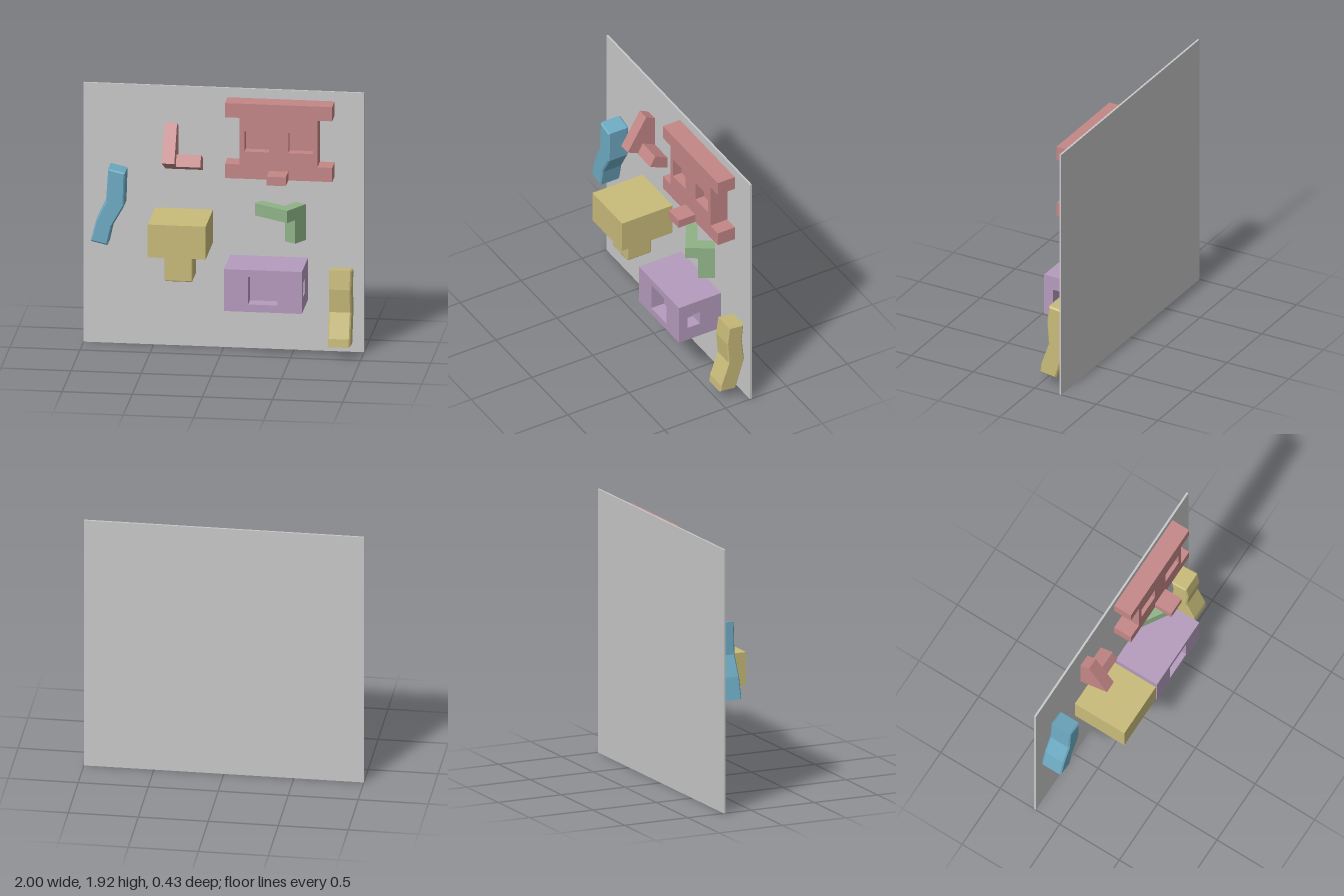
import * as THREE from 'three';
import { RoundedBoxGeometry } from 'three/addons/geometries/RoundedBoxGeometry.js';

const BACK = -0.2; // front face of the board

const mat = (name, color) => {
  const m = new THREE.MeshStandardMaterial({ color });
  m.name = name;
  return m;
};

const path = (pts, Type = THREE.Shape) => new Type(pts.map(p => new THREE.Vector2(...p)));
const rect = (x0, x1, y0, y1) => [[x0, y0], [x1, y0], [x1, y1], [x0, y1]];

// Extrudes an outline from a to b along z; the bevel stays inside the outline
function extrude(pts, a, b, bevel = 0, holes = []) {
  const shape = path(pts);
  holes.forEach(h => shape.holes.push(path(h, THREE.Path)));
  return new THREE.ExtrudeGeometry(shape, {
    depth: b - a - 2 * bevel, bevelEnabled: bevel > 0, bevelSegments: 1,
    bevelSize: bevel, bevelThickness: bevel, bevelOffset: -bevel,
  }).translate(0, 0, a + bevel);
}
// Outline given as [z, y], running along x
const extrudeX = (pts, a, b, bevel) =>
  extrude(pts.map(([z, y]) => [-z, y]), a, b, bevel).rotateY(Math.PI / 2);
// Outline given as [x, z], running along y
const extrudeY = (pts, a, b) =>
  extrude(pts.map(([x, z]) => [x, -z]), a, b).rotateX(-Math.PI / 2);

const box = (x0, x1, y0, y1, z0, z1) => new THREE.BoxGeometry(x1 - x0, y1 - y0, z1 - z0)
  .translate((x0 + x1) / 2, (y0 + y1) / 2, (z0 + z1) / 2);

// Removes box sides (order +x -x +y -y +z -z); inward turns the rest to face inside
function openBox(geo, sides, inward = false) {
  const out = [], idx = geo.index.array;
  for (let i = 0; i < idx.length; i += 3) {
    if (sides.includes(Math.floor(i / 6))) continue;
    out.push(idx[i], idx[i + (inward ? 2 : 1)], idx[i + (inward ? 1 : 2)]);
  }
  geo.setIndex(out);
  geo.clearGroups();
  if (inward) {
    const n = geo.attributes.normal;
    for (let i = 0; i < n.array.length; i++) n.array[i] *= -1;
  }
  return geo;
}

function windowFace(outer, inner) {
  const s = path(outer);
  s.holes.push(path(inner, THREE.Path));
  return new THREE.ShapeGeometry(s);
}

export function createModel() {
  const grey = mat('board grey', 0xc8c8c8);
  const red = mat('dusty red', 0xc48787);
  const yellow = mat('straw yellow', 0xc8bb7a);
  const purple = mat('soft purple', 0xb59bbd);
  const green = mat('sage green', 0x8fb387);
  const blue = mat('sea blue', 0x6eabc3);

  const model = new THREE.Group();
  const group = name => {
    const g = new THREE.Group();
    g.name = name;
    model.add(g);
    return g;
  };
  const add = (parent, name, geo, material) => {
    const m = new THREE.Mesh(geo, material);
    m.name = name;
    parent.add(m);
  };

  add(model, 'backBoard', box(-1, 1, 0, 1.92, -0.215, BACK), grey);

  // Wide red block with two recessed windows and a small ledge
  const face = group('redWindowBlock');
  const outline = [[0.025, 1.295], [0.79, 1.295], [0.79, 1.4], [0.685, 1.4], [0.685, 1.745],
    [0.79, 1.745], [0.79, 1.85], [0.025, 1.85], [0.025, 1.745], [0.13, 1.745], [0.13, 1.4], [0.025, 1.4]];
  add(face, 'blockBack', extrude(outline, BACK, -0.13), red);
  add(face, 'blockFront', extrude(outline, -0.13, -0.06, 0,
    [rect(0.165, 0.34, 1.497, 1.645), rect(0.477, 0.653, 1.497, 1.645)]), red);
  add(face, 'ledge', box(0.34, 0.477, 1.295, 1.36, -0.06, 0.078), red);

  // Tilted red angle piece
  const angle = group('redAnglePiece');
  add(angle, 'angleLeg', extrudeX([[0.022, 1.41], [-0.13, 1.665], [BACK, 1.63], [BACK, 1.305]],
    -0.415, -0.325), red);
  add(angle, 'angleFoot', extrudeX([[-0.06, 1.365], [-0.1, 1.445], [BACK, 1.395], [BACK, 1.305]],
    -0.325, -0.15), red);

  // Green bent bracket with a hanging leg
  const bracket = group('greenBracket');
  add(bracket, 'bracketArms', extrudeY([[0.48, 0.025], [0.59, -0.155], [0.515, BACK],
    [0.45, -0.095], [0.268, BACK], [0.23, -0.13]], 1.005, 1.095), green);
  add(bracket, 'bracketLeg', extrudeY([[0.527, -0.053], [0.59, -0.155], [0.515, BACK],
    [0.45, -0.1]], 0.83, 1.005), green);

  // Yellow block on a short stem
  const hammer = group('yellowHammer');
  add(hammer, 'hammerHead', box(-0.49, -0.077, 0.772, 1.015, BACK, 0.215), yellow);
  add(hammer, 'hammerStem', new RoundedBoxGeometry(0.2, 0.24, 0.197, 1, 0.01)
    .translate(-0.285, 0.685, 0.008), yellow);

  // Purple box with recesses in its front and left sides
  const house = group('purpleBox');
  add(house, 'boxShell', openBox(box(0.045, 0.6, 0.375, 0.685, BACK, 0.147), [0, 4]), purple);
  add(house, 'boxFront', windowFace(rect(0.045, 0.6, 0.375, 0.685),
    rect(0.217, 0.427, 0.43, 0.635)).translate(0, 0, 0.147), purple);
  add(house, 'frontRecess', openBox(box(0.217, 0.427, 0.43, 0.635, 0.045, 0.147), [4], true), purple);
  add(house, 'boxSide', windowFace(rect(-0.147, 0.2, 0.375, 0.685),
    rect(-0.075, 0.025, 0.48, 0.582)).rotateY(Math.PI / 2).translate(0.6, 0, 0), purple);
  add(house, 'sideRecess', openBox(box(0.5, 0.6, 0.48, 0.582, -0.025, 0.075), [0], true), purple);

  // Blue bent limb, curving in the board's plane
  add(model, 'blueLimb', extrude([[-0.805, 1.335], [-0.685, 1.308], [-0.693, 1.06], [-0.78, 0.905],
    [-0.81, 0.77], [-0.93, 0.797], [-0.89, 0.955], [-0.82, 1.1]], BACK, -0.036, 0.01), blue);

  // Yellow bent limb, curving out from the board
  add(model, 'yellowLimb', extrudeX([[-0.072, 0.637], [-0.195, 0.622], [-0.182, 0.485], [BACK, 0.31],
    [-0.128, 0.075], [0, 0.09], [-0.005, 0.15], [-0.068, 0.33], [-0.055, 0.5]], 0.765, 0.925, 0.01), yellow);

  return model;
}
